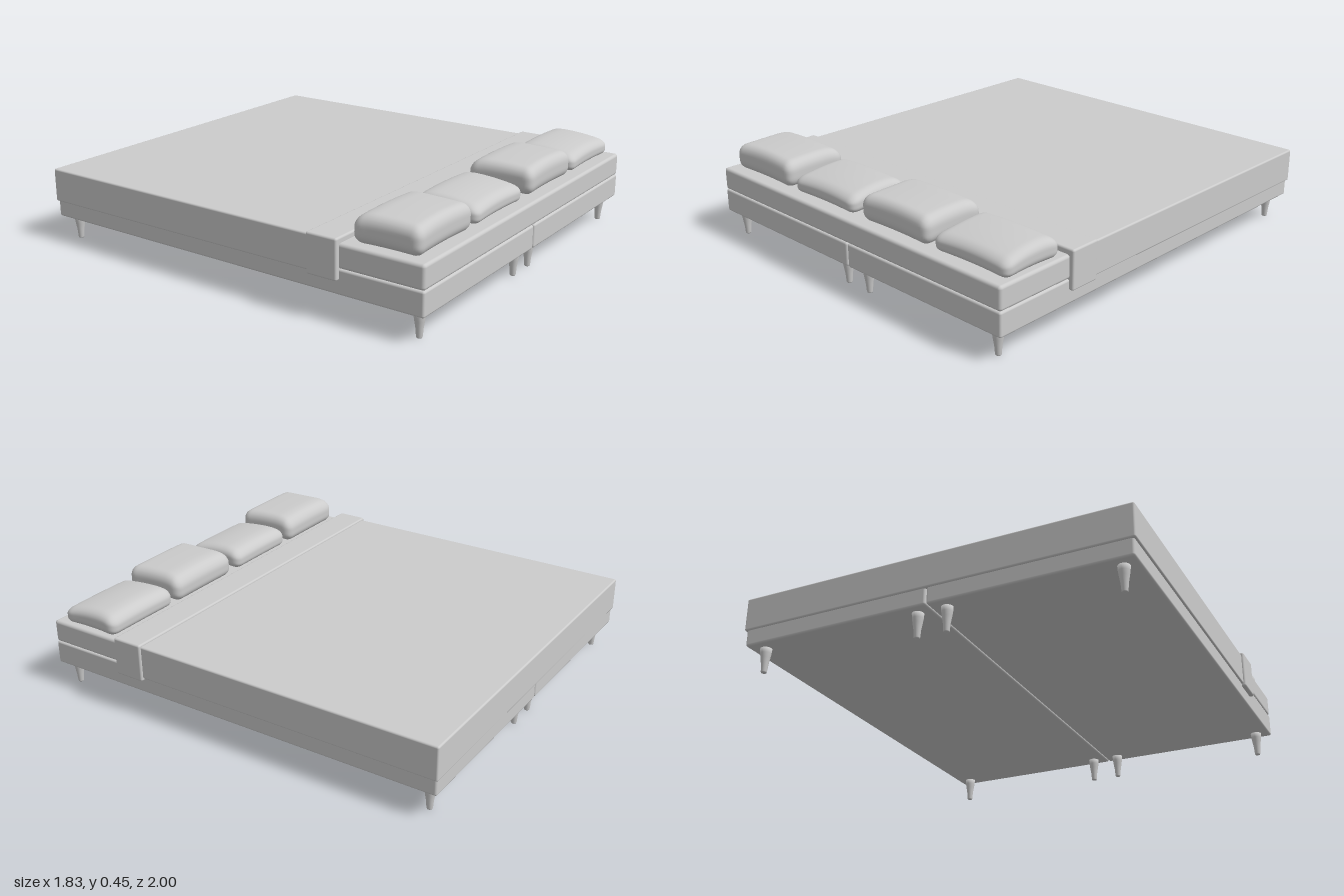
import * as THREE from 'three';
import { mergeVertices } from 'three/addons/utils/BufferGeometryUtils.js';
import { RoundedBoxGeometry } from 'three/addons/geometries/RoundedBoxGeometry.js';

const material = new THREE.MeshStandardMaterial({ color: 0xcccccc });

function add(group, name, geometry) {
  const mesh = new THREE.Mesh(geometry, material);
  mesh.name = name;
  group.add(mesh);
  return mesh;
}

// Rounded box given by its extents on each axis
function slab(group, name, [x0, x1], [y0, y1], [z0, z1], radius) {
  const mesh = add(group, name, new RoundedBoxGeometry(x1 - x0, y1 - y0, z1 - z0, 3, radius));
  mesh.position.set((x0 + x1) / 2, (y0 + y1) / 2, (z0 + z1) / 2);
}

// Soft cushion: rounded block with pulled-in sides and a crowned, sloping top
function pillowGeometry(width, depth, frontHeight, topHeight, backHeight) {
  const geo = new THREE.BoxGeometry(2, 2, 2, 32, 12, 26);
  geo.deleteAttribute('normal');
  geo.deleteAttribute('uv');
  const half = new THREE.Vector3(width / 2, 0.06, depth / 2);
  const radius = 0.045;
  const inner = half.clone().subScalar(radius);
  const pos = geo.attributes.position;
  const p = new THREE.Vector3(), core = new THREE.Vector3();
  for (let i = 0; i < pos.count; i++) {
    p.fromBufferAttribute(pos, i).multiply(half);
    core.copy(p).clamp(inner.clone().negate(), inner);
    p.sub(core).setLength(radius).add(core);
    const u = p.x / half.x, v = p.z / half.z, h = (p.y + half.y) / (2 * half.y);
    // Height along the depth: back, crest, front
    const crest = -0.4;
    const t = v > crest ? (v - crest) / (1 - crest) : (crest - v) / (1 + crest);
    const edge = v > crest ? frontHeight : backHeight;
    const crown = topHeight + (edge - topHeight) * t * t;
    const sag = 0.008 * u * u;
    // Sides dip inward between the corners, and the front tapers slightly
    p.x *= 1 - 0.045 * (1 - v * v) - 0.02 * (v + 1) / 2;
    p.z *= 1 - 0.07 * (1 - u * u) * Math.max(v, 0);
    p.y = h * (crown - sag);
    pos.setXYZ(i, p.x, p.y, p.z);
  }
  const merged = mergeVertices(geo, 1e-5);
  merged.computeVertexNormals();
  return merged;
}

export function createModel() {
  const bed = new THREE.Group();
  bed.name = 'bed';

  // Two side-by-side bases, each on four turned legs
  const legProfile = [[0, 0], [0.011, 0], [0.013, 0.004], [0.016, 0.04], [0.021, 0.07],
    [0.024, 0.09], [0.026, 0.115], [0, 0.115]].map(([r, y]) => new THREE.Vector2(r, y));
  const legGeometry = new THREE.LatheGeometry(legProfile, 20);
  for (const side of [-1, 1]) {
    const xs = side > 0 ? [0.002, 0.893] : [-0.893, -0.002];
    slab(bed, side > 0 ? 'leftBase' : 'rightBase', xs, [0.113, 0.222], [-0.993, 0.995], 0.01);
    for (const x of [0.068, 0.827]) {
      for (const z of [-0.932, 0.938]) {
        add(bed, 'leg', legGeometry).position.set(side * x, 0, z);
      }
    }
  }

  // Bedding
  slab(bed, 'mattress', [-0.893, 0.893], [0.222, 0.327], [-0.99, 0.995], 0.014);
  slab(bed, 'blanket', [-0.902, 0.902], [0.187, 0.342], [-1, 0.5], 0.008);
  slab(bed, 'blanketFold', [-0.913, 0.913], [0.175, 0.352], [0.463, 0.61], 0.009);

  // Pillows, alternating plump and flat
  const plump = pillowGeometry(0.418, 0.315, 0.124, 0.132, 0.112);
  const flat = pillowGeometry(0.418, 0.305, 0.076, 0.104, 0.085);
  [[-0.653, plump], [-0.217, flat], [0.243, plump], [0.675, flat]].forEach(([x, geometry]) => {
    add(bed, 'pillow', geometry).position.set(x, 0.322, 0.795);
  });
  return bed;
}
